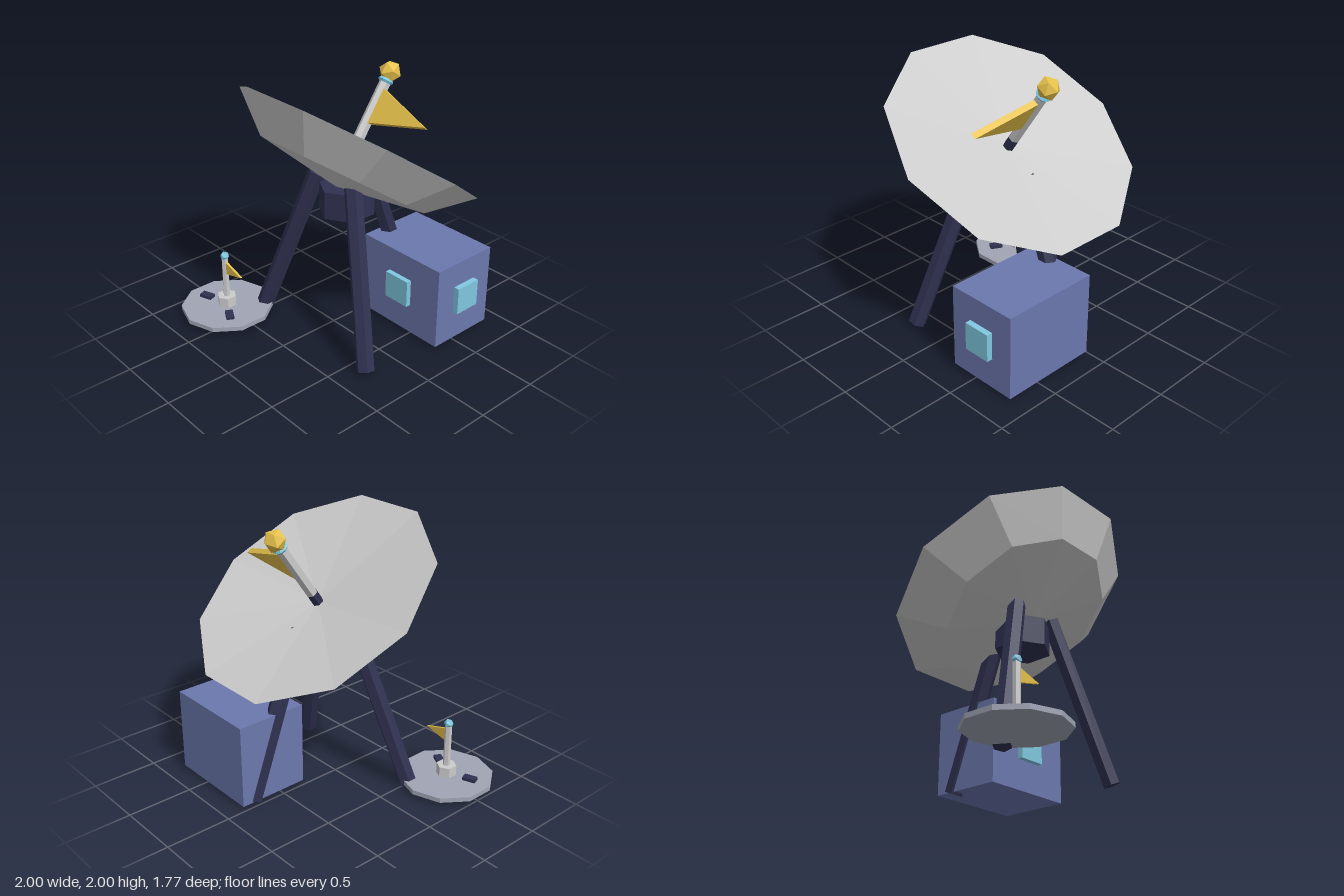
import * as THREE from 'three';

const mat = (color) => new THREE.MeshStandardMaterial({ color, flatShading: true });
const grey = mat(0xcccccc), navy = mat(0x2f3150), gold = mat(0xe5c04a);
const cyan = mat(0x80c8e0), blue = mat(0x6c78ae), slate = mat(0xa0a4b4);
const dishGrey = mat(0xcccccc);

function add(parent, name, geometry, material, x = 0, y = 0, z = 0) {
  const mesh = new THREE.Mesh(geometry, material);
  mesh.name = name;
  mesh.position.set(x, y, z);
  parent.add(mesh);
  return mesh;
}

const prism = (r, h, sides = 6) => new THREE.CylinderGeometry(r, r, h, sides);
const box = (w, h, d) => new THREE.BoxGeometry(w, h, d);

// Triangular pennant pointing along +x, centred on z = 0
function pennant(y0, y1, tipX, tipY, thickness) {
  const shape = new THREE.Shape([
    new THREE.Vector2(0, y0), new THREE.Vector2(tipX, tipY), new THREE.Vector2(0, y1),
  ]);
  return new THREE.ExtrudeGeometry(shape, { depth: thickness, bevelEnabled: false })
    .translate(0, 0, -thickness / 2);
}

// Six-sided strut between two points
function strut(parent, name, from, to, r) {
  const dir = to.clone().sub(from);
  const mesh = add(parent, name, prism(r, dir.length()), navy);
  mesh.position.copy(from).add(to).multiplyScalar(0.5);
  mesh.quaternion.setFromUnitVectors(new THREE.Vector3(0, 1, 0), dir.normalize());
}

function createDish() {
  const dish = new THREE.Group();
  dish.name = 'dish';
  // Closed shell: faceted bowl outside, shallow cone inside
  const profile = [[0, -0.35], [0.645, -0.255], [0.935, 0], [0, -0.1]]
    .map(([r, y]) => new THREE.Vector2(r, y));
  add(dish, 'reflector', new THREE.LatheGeometry(profile, 10, Math.PI / 10), dishGrey);
  // Feed mast with pennant and beacon
  add(dish, 'mastCollar', prism(0.042, 0.1), navy, 0, -0.05, 0);
  add(dish, 'mast', prism(0.042, 0.5), grey, 0, 0.25, 0);
  add(dish, 'mastFlag', pennant(0.145, 0.42, 0.5, 0.262, 0.045), gold, 0.015, 0, 0);
  const ring = add(dish, 'mastRing', new THREE.TorusGeometry(0.04, 0.018, 5, 10), cyan, 0, 0.475, 0);
  ring.rotation.x = Math.PI / 2;
  add(dish, 'beacon', new THREE.IcosahedronGeometry(0.083, 0), gold, 0, 0.545, 0);
  dish.position.set(0.065, 1.475, -0.16);
  dish.rotation.x = -0.609;
  return dish;
}

function createStand() {
  const stand = new THREE.Group();
  stand.name = 'stand';
  add(stand, 'hub', prism(0.21, 0.21), navy, 0, 1.07, 0);
  // Three splayed legs
  for (let i = 0; i < 3; i++) {
    const a = Math.PI / 3 + i * Math.PI * 2 / 3;
    const at = (r, y) => new THREE.Vector3(Math.sin(a) * r, y, Math.cos(a) * r);
    strut(stand, 'leg', at(0.67, 0.024), at(0.22, 1.245), 0.067);
  }
  stand.position.set(0.065, 0, -0.063);
  return stand;
}

function createHut() {
  const hut = new THREE.Group();
  hut.name = 'hut';
  add(hut, 'hutBody', box(0.76, 0.635, 0.55), blue);
  add(hut, 'frontWindow', box(0.22, 0.21, 0.08), cyan, 0, 0.022, 0.275);
  add(hut, 'sideWindow', box(0.08, 0.21, 0.21), cyan, 0.385, 0.022, 0);
  hut.position.set(0.4, 0.343, -0.577);
  return hut;
}

function createPad() {
  const pad = new THREE.Group();
  pad.name = 'landingPad';
  add(pad, 'padDisc', prism(0.355, 0.035, 10), slate, 0, 0.048, 0);
  add(pad, 'poleFoot', prism(0.075, 0.08), grey, 0, 0.105, 0);
  add(pad, 'pole', prism(0.027, 0.34), grey, 0, 0.31, 0);
  add(pad, 'poleFlag', pennant(0.34, 0.445, 0.19, 0.388, 0.018), gold, 0.015, 0, 0);
  add(pad, 'poleLamp', new THREE.IcosahedronGeometry(0.036, 0), cyan, 0, 0.49, 0);
  // Two loose plates lying on the pad
  for (const [x, z, turn] of [[-0.18, 0.063, 0.35], [0.16, 0.095, -0.5]]) {
    add(pad, 'plate', box(0.1, 0.025, 0.06), navy, x, 0.077, z).rotation.y = turn;
  }
  pad.position.set(-0.662, 0, 0.525);
  return pad;
}

export function createModel() {
  const model = new THREE.Group();
  model.name = 'dishStation';
  model.add(createDish(), createStand(), createHut(), createPad());
  return model;
}
